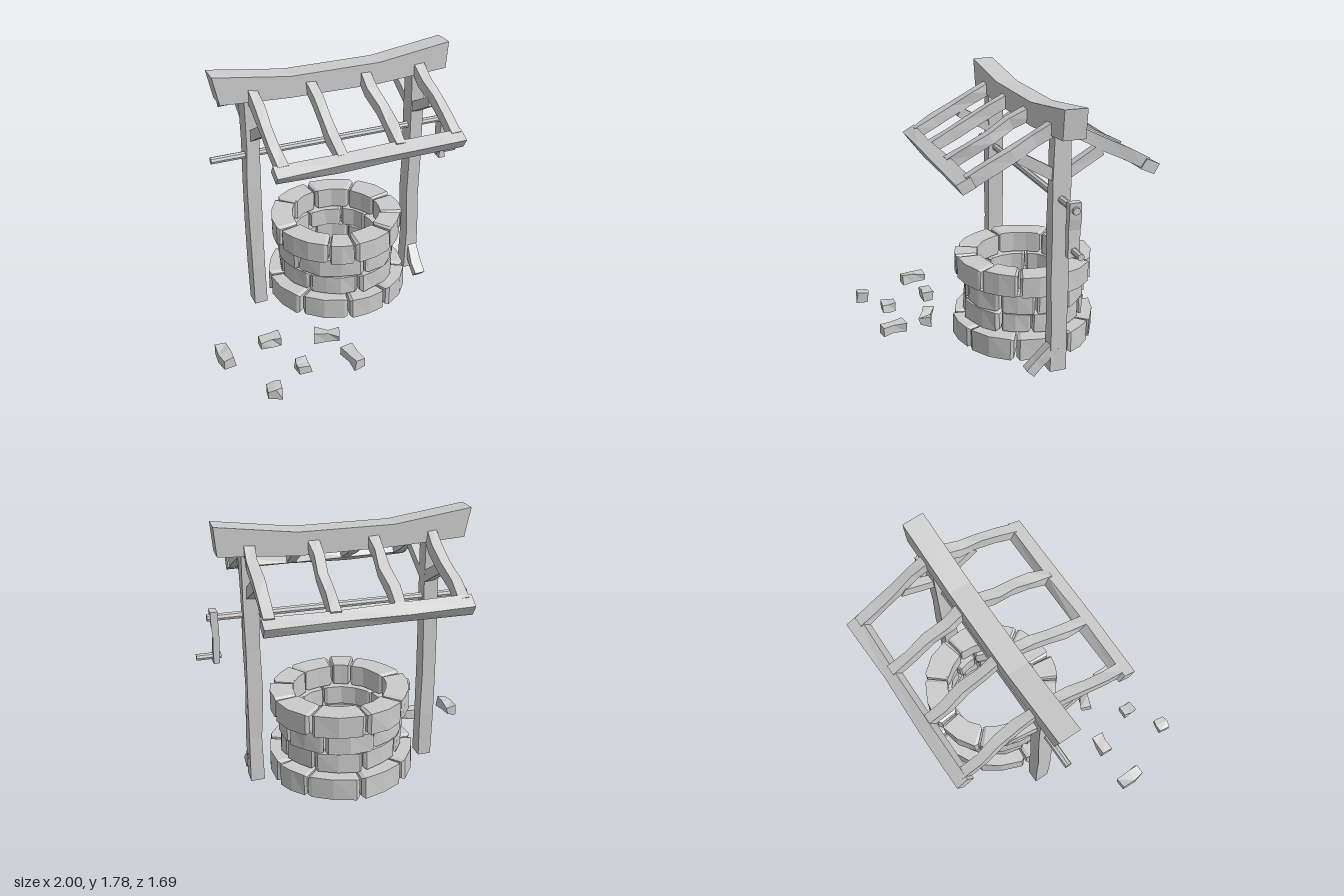
import * as THREE from 'three';

const V = (x, y, z) => new THREE.Vector3(x, y, z);
const MID_X = 0.065, MID_Z = -0.18; // well axis

export function createModel() {
  const model = new THREE.Group();
  model.name = 'well';
  const material = new THREE.MeshStandardMaterial({ color: 0xcccccc, flatShading: true });

  // seeded noise in -a..a
  let seed = 7;
  const jit = (a) => {
    seed = (seed * 16807) % 2147483647;
    return (seed / 2147483647 * 2 - 1) * a;
  };

  const add = (name, geometry, parent = model) => {
    const mesh = new THREE.Mesh(geometry, material);
    mesh.name = name;
    parent.add(mesh);
    return mesh;
  };

  const group = (name) => {
    const g = new THREE.Group();
    g.name = name;
    model.add(g);
    return g;
  };

  // skin over four-cornered sections, capped at both ends
  const loft = (rings) => {
    const pos = [];
    const quad = (a, b, c, d) => [a, b, c, a, c, d].forEach((p) => pos.push(p.x, p.y, p.z));
    for (let i = 0; i < rings.length - 1; i++) {
      for (let k = 0; k < 4; k++) {
        const n = (k + 1) % 4;
        quad(rings[i][k], rings[i][n], rings[i + 1][n], rings[i + 1][k]);
      }
    }
    const [s, e] = [rings[0], rings[rings.length - 1]];
    quad(s[3], s[2], s[1], s[0]);
    quad(e[0], e[1], e[2], e[3]);
    const geo = new THREE.BufferGeometry();
    geo.setAttribute('position', new THREE.Float32BufferAttribute(pos, 3));
    geo.computeVertexNormals();
    return geo;
  };

  // rough-hewn bar through points; w is measured along u, h across it
  const bar = (points, u, w, h, rough = 0.006) => {
    const d = points[points.length - 1].clone().sub(points[0]).normalize();
    const v = d.clone().cross(u).normalize();
    return loft(points.map((p) => [[1, 1], [-1, 1], [-1, -1], [1, -1]].map(([a, b]) =>
      p.clone()
        .addScaledVector(u, a * w / 2 + jit(rough))
        .addScaledVector(v, b * h / 2 + jit(rough)))));
  };

  // evenly spaced points with a little sideways wander
  const path = (a, b, n, wander, axis) => Array.from({ length: n + 1 }, (_, i) =>
    a.clone().lerp(b, i / n).addScaledVector(axis, i % n ? jit(wander) : 0));

  const X = V(1, 0, 0), Z = V(0, 0, 1);

  // stone courses: outer radius, inner radius, bottom, top, joint angles in degrees
  const courses = [
    [0.485, 0.32, 0.035, 0.185, [-53, -12, 23, 64, 108, 138, 180, 222, 265]],
    [0.415, 0.29, 0.195, 0.325, [-50, 0, 48, 78, 104, 140, 185, 228, 270]],
    [0.415, 0.29, 0.335, 0.465, [-62, 6, 48, 82, 112, 150, 196, 245]],
    [0.465, 0.31, 0.475, 0.622, [-29, -6, 33, 66, 100, 140, 186, 225, 280]],
  ];
  courses.forEach(([R, r, y0, y1, joints], c) => {
    const course = group('stoneCourse' + (c + 1));
    joints.forEach((start, i) => {
      const a0 = start + 0.9;
      const a1 = (i + 1 < joints.length ? joints[i + 1] : joints[0] + 360) - 0.9;
      const out = R + jit(0.012), inn = r + jit(0.01), low = y0 + jit(0.004), high = y1 + jit(0.004);
      const span = a1 - a0;
      // worn ends, broad faces between
      const stops = span > 45 ? [0, 0.06, 0.35, 0.65, 0.94, 1] : [0, 0.07, 0.5, 0.93, 1];
      const rings = stops.map((t, k) => {
        const a = THREE.MathUtils.degToRad(a0 + span * t);
        const e = k === 0 || k === stops.length - 1 ? 0.012 : 0;
        const at = (rad, y) => V(MID_X + rad * Math.sin(a), y, MID_Z + rad * Math.cos(a));
        const o = out - e + jit(0.006), n = inn + e + jit(0.005);
        return [at(o + jit(0.006), low + e), at(n, low + e), at(n, high - e), at(o, high - e)];
      });
      add('stone', loft(rings), course);
    });
  });

  // posts
  [[-0.537, 'rightPost'], [0.652, 'leftPost']].forEach(([x, name]) => {
    add(name, bar(path(V(x, 0.025, MID_Z - 0.006), V(x, 1.6, MID_Z), 5, 0.006, X), X, 0.093, 0.11, 0.005));
  });
  // strut at the foot of one post
  add('footStrut', bar([V(0.66, 0.03, 0.0), V(0.66, 0.09, -0.06), V(0.665, 0.2, -0.17)], X, 0.075, 0.07));

  // sagging ridge beam
  const ridge = new THREE.Shape([
    [-0.78, 1.79], [-0.74, 1.6], [-0.27, 1.575], [0.35, 1.57],
    [0.845, 1.605], [0.86, 1.79], [0.35, 1.72], [-0.27, 1.72],
  ].map(([x, y]) => new THREE.Vector2(x, y)));
  const ridgeGeo = new THREE.ExtrudeGeometry(ridge, { depth: 0.145, bevelEnabled: false });
  add('ridgeBeam', ridgeGeo).position.z = -0.257;

  // roof frame, front and back slopes
  for (const s of [1, -1]) {
    const roof = group(s > 0 ? 'frontRoofFrame' : 'backRoofFrame');
    const P = (x, y, z) => V(x, y, MID_Z + s * (z - MID_Z));
    [-0.52, -0.13, 0.255, 0.645].forEach((x, i) => {
      add('rafter', bar(path(P(x, 1.64, -0.15), P(x, 1.355, 0.395), 4, 0.012, X), X, 0.066, 0.078), roof);
      if (i % 3 === 0) {
        add('brace', bar([P(x, 1.335, -0.16), P(x, 1.475, 0.085)], X, 0.06, 0.07, 0.003), roof);
      }
    });
    const slope = V(0, 0.5, -0.87 * s).normalize();
    add('eaveBeam', bar([-0.58, -0.16, 0.25, 0.69].map((x) => P(x, 1.342, 0.415)), slope, 0.09, 0.075, 0.008), roof);
  }

  // winding axle, crank arm and handle
  const rod = (name, x0, x1, y, r) => {
    const mesh = add(name, new THREE.CylinderGeometry(r, r, x1 - x0, 8));
    mesh.rotation.z = Math.PI / 2;
    mesh.position.set((x0 + x1) / 2, y, MID_Z);
  };
  rod('axle', -0.81, 0.92, 1.198, 0.024);
  rod('crankHandle', 0.845, 1.0, 0.942, 0.022);
  add('crankArm', bar([
    V(0.88, 0.9, MID_Z), V(0.877, 1.0, MID_Z), V(0.87, 1.07, MID_Z), V(0.877, 1.14, MID_Z), V(0.88, 1.245, MID_Z),
  ], X, 0.04, 0.075, 0.004));

  // fallen stones: x, z, length, width, turn from +z in radians
  const rubble = group('fallenStones');
  [
    [-0.95, 0.355, 0.18, 0.075, 0.1],
    [-0.63, 0.33, 0.14, 0.075, 1.5],
    [-0.26, 0.43, 0.17, 0.08, 1.2],
    [-0.18, 0.69, 0.17, 0.08, 0.2],
    [-0.515, 0.65, 0.095, 0.08, 0.0],
    [-0.76, 0.79, 0.09, 0.08, 1.4],
  ].forEach(([x, z, len, w, turn]) => {
    const d = V(Math.sin(turn), 0, Math.cos(turn));
    const side = V(d.z, 0, -d.x);
    const c = V(x, 0.052, z);
    const pts = [-0.5, 0.05, 0.5].map((t) => c.clone().addScaledVector(d, t * len));
    add('fallenStone', bar(pts, side, w, 0.066, 0.011), rubble);
  });

  return model;
}
